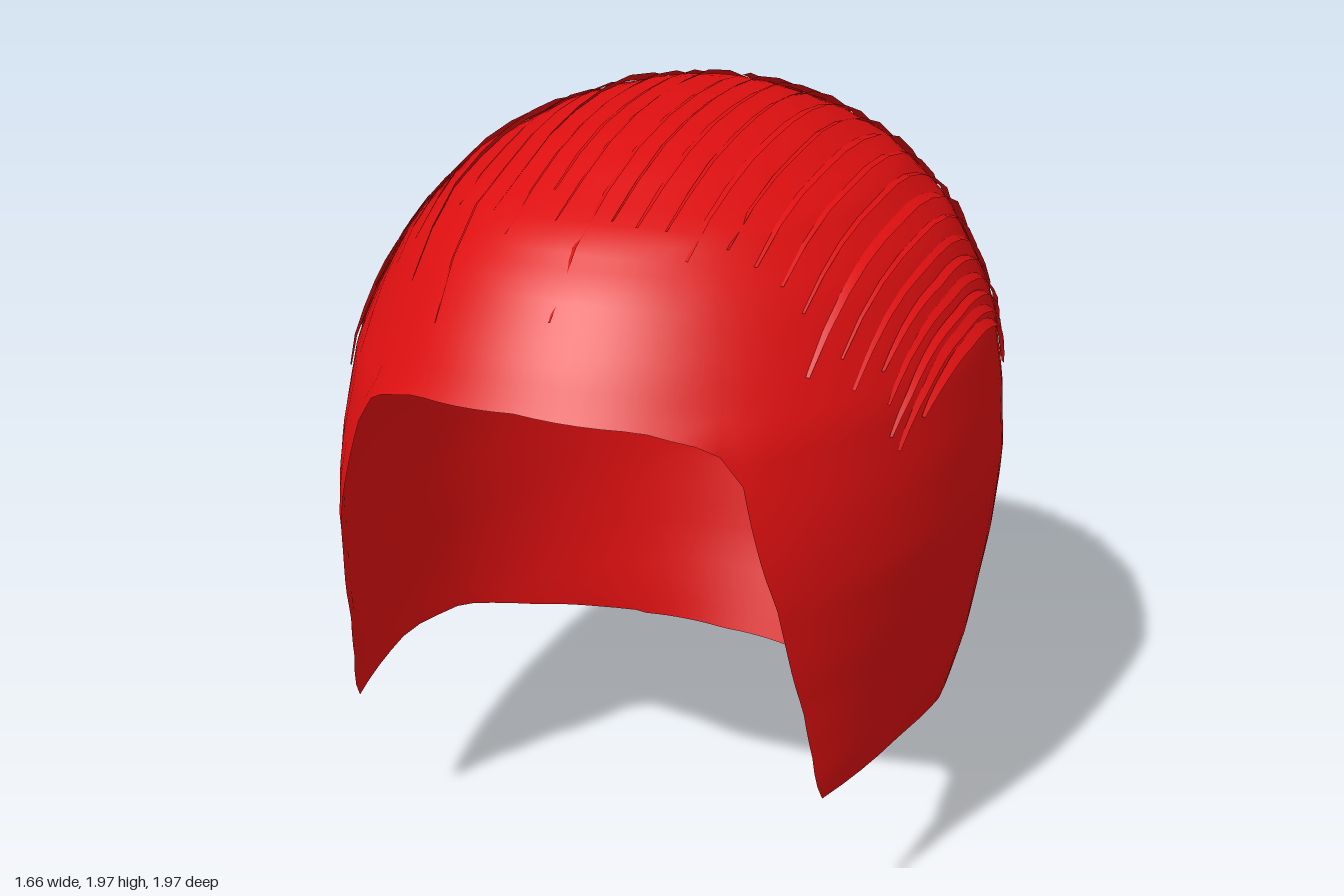
import * as THREE from 'three';
import { mergeGeometries, mergeVertices } from 'three/addons/utils/BufferGeometryUtils.js';

// piecewise-linear lookup in a short table of [key, value]
function look(table, k) {
  if (k <= table[0][0]) return table[0][1];
  for (let i = 1; i < table.length; i++) {
    const [a, va] = table[i - 1], [b, vb] = table[i];
    if (k <= b) return va + (vb - va) * (k - a) / (b - a);
  }
  return table[table.length - 1][1];
}

// half width, front depth and back depth of the head at each height
const TOP = 1.965;
const WIDTH = [[0, .62], [.11, .645], [.22, .67], [.35, .72], [.5, .76], [.8, .81], [1, .83], [1.2, .82],
  [1.4, .79], [1.5, .75], [1.65, .67], [1.8, .53], [1.9, .35], [1.94, .23], [1.957, .12], [TOP, 0]];
const FRONT = [[.43, 1.42], [.55, 1.28], [.7, 1.2], [.9, 1.17], [1.1, 1.15], [1.25, 1.1], [1.4, 1.04],
  [1.45, 1], [1.55, .94], [1.7, .83], [1.8, .71], [1.9, .46], [1.94, .31], [1.957, .16], [TOP, 0]];
const BACK = [[0, .76], [.3, .87], [.6, .945], [.8, .965], [1, .96], [1.2, .93], [1.4, .88], [1.65, .75],
  [1.75, .66], [1.85, .52], [1.94, .29], [1.957, .18], [TOP, 0]];
// half width of the face opening by height, brow line by angle, hem by share of the way round
const OPENING = [[.43, .65], [.7, .62], [1, .58], [1.15, .54], [1.3, .5]];
const BROW = [[0, 1.455], [.38, 1.435], [.54, 1.4], [.61, 1.37], [.67, 1.3]];
const HEM = [[0, .43], [.14, .42], [.24, .35], [.36, .23], [.55, .11], [.8, .04], [1, .01]];
const SEAM = 1.3;

// point on the head at angle phi from the front, height y
function surf(phi, y) {
  const c = Math.cos(phi);
  return new THREE.Vector3(look(WIDTH, y) * Math.sin(phi), y, c * look(c > 0 ? FRONT : BACK, y));
}
const edgeAngle = (y) => Math.asin(Math.min(1, look(OPENING, y) / look(WIDTH, y)));

// grid of points made into faces
function patch(nu, nv, point) {
  const pos = [], idx = [];
  for (let j = 0; j <= nv; j++)
    for (let i = 0; i <= nu; i++) pos.push(...point(i, j / nv).toArray());
  for (let j = 0; j < nv; j++)
    for (let i = 0; i < nu; i++) {
      const a = j * (nu + 1) + i, b = a + nu + 1;
      idx.push(a, b, a + 1, b, b + 1, a + 1);
    }
  const g = new THREE.BufferGeometry();
  g.setAttribute('position', new THREE.Float32BufferAttribute(pos, 3));
  g.setIndex(idx);
  return g;
}

function shellGeometry() {
  const nSkirt = 64, nBrow = 20, e0 = edgeAngle(SEAM);
  const around = (i, e) => e + (2 * Math.PI - 2 * e) * i / nSkirt;
  // crown: closed dome from the top to the brow line
  const crown = patch(nSkirt + nBrow, 24, (i, v) => {
    const phi = i <= nSkirt ? around(i, e0) : -e0 + 2 * e0 * (i - nSkirt) / nBrow;
    const low = i <= nSkirt ? SEAM : look(BROW, Math.abs(phi));
    return surf(phi, low + (TOP - low) * Math.cos(v * Math.PI / 2));
  });
  // sides and back: from one edge of the face opening round to the other
  const skirt = patch(nSkirt, 20, (i, v) => {
    const hem = look(HEM, 1 - Math.abs(2 * i / nSkirt - 1));
    const y = SEAM + (hem - SEAM) * v;
    return surf(around(i, edgeAngle(y)), y);
  });
  const g = mergeVertices(mergeGeometries([crown, skirt]), 1e-4);
  g.computeVertexNormals();
  return g;
}

// where a ray from the middle of the head meets the surface
const MIDDLE = new THREE.Vector3(0, 1, 0);
function cast(dir) {
  let lo = 0, hi = 2;
  const p = new THREE.Vector3();
  for (let n = 0; n < 24; n++) {
    const r = (lo + hi) / 2;
    p.copy(MIDDLE).addScaledVector(dir, r);
    const w = look(WIDTH, p.y), d = look(p.z > 0 ? FRONT : BACK, p.y);
    const inside = p.y < TOP && (p.x / w) ** 2 + (p.z / d) ** 2 < 1;
    if (inside) lo = r; else hi = r;
  }
  return p;
}

// thin tapered lock swept back over the head, one edge slightly lifted
function lockGeometry(spread, from, to, half, lift) {
  const n = 18, pts = [], dirs = [];
  for (let i = 0; i <= n; i++) {
    const t = from + (to - from) * i / n, deg = t * Math.PI / 180;
    const gather = look([[20, .8], [80, 1], [150, 1], [230, .3]], t);
    dirs.push(new THREE.Vector3(spread * gather, Math.sin(deg), Math.cos(deg)).normalize());
    pts.push(cast(dirs[i]));
  }
  return patch(1, n, (i, v) => {
    const k = Math.round(v * n);
    const along = pts[Math.min(n, k + 1)].clone().sub(pts[Math.max(0, k - 1)]);
    const side = along.cross(dirs[k]).normalize();
    const taper = Math.sqrt(Math.sin(Math.PI * (.03 + .94 * v)));
    return pts[k].clone().addScaledVector(side, (i ? 1 : -1) * half * taper)
      .addScaledVector(dirs[k], .003 + (i ? lift * taper : 0));
  });
}

export function createModel() {
  const hairRed = new THREE.MeshStandardMaterial({ color: 0xdc0f10, side: THREE.DoubleSide });
  hairRed.name = 'hairRed';
  const model = new THREE.Group();
  model.name = 'hair';

  const shell = new THREE.Mesh(shellGeometry(), hairRed);
  shell.name = 'hairShell';
  model.add(shell);

  let seed = 7;
  const rnd = () => (seed = (seed * 16807) % 2147483647) / 2147483647;

  // locks fanned from the middle out to the temples, mirrored
  const locks = new THREE.Group();
  locks.name = 'locks';
  model.add(locks);
  for (const s of [1, -1])
    for (let i = 0; i < 17; i++) {
      const spread = .04 + i * .055 + i * i * .0035;
      const from = 36 + rnd() * 22 - i * .8;
      const to = spread > 1.1 ? 130 + rnd() * 40 : 185 + rnd() * 38;
      const g = lockGeometry(s * spread, from, to, .008 + rnd() * .007, .006 + rnd() * .012);
      g.computeVertexNormals();
      const lock = new THREE.Mesh(g, hairRed);
      lock.name = s > 0 ? 'lockLeft' : 'lockRight';
      locks.add(lock);
    }
  return model;
}
